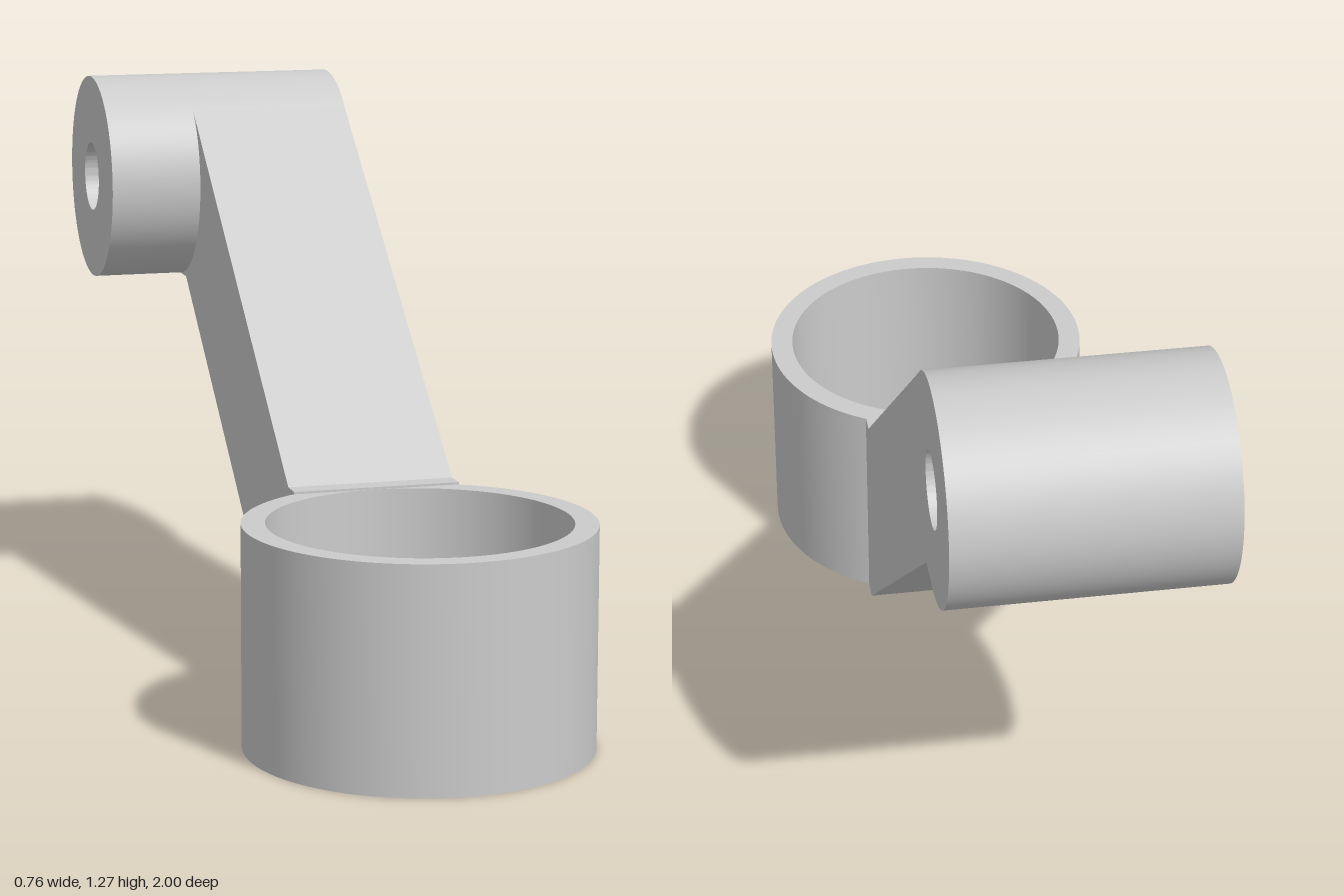
import * as THREE from 'three';
import { toCreasedNormals } from 'three/addons/utils/BufferGeometryUtils.js';

const material = new THREE.MeshStandardMaterial({ color: 0xcccccc });

const RING = { x: 0.01, z: 0.632, outer: 0.368, inner: 0.318, height: 0.475 };
const BOSS = { z: -0.763, y: 1.03, outer: 0.237, inner: 0.08, left: 0.195, right: -0.38 };
const ARM = { left: 0.195, right: -0.172 };

function extrude(shape, depth) {
  const geometry = new THREE.ExtrudeGeometry(shape, { depth, bevelEnabled: false, curveSegments: 64 });
  return toCreasedNormals(geometry, Math.PI / 6);
}

// Flat ring outline with a round hole
function annulus(outer, inner) {
  const shape = new THREE.Shape().absarc(0, 0, outer, 0, Math.PI * 2, false);
  shape.holes.push(new THREE.Path().absarc(0, 0, inner, 0, Math.PI * 2, true));
  return shape;
}

function addMesh(group, name, geometry) {
  const mesh = new THREE.Mesh(geometry, material);
  mesh.name = name;
  group.add(mesh);
  return mesh;
}

export function createModel() {
  const group = new THREE.Group();
  group.name = 'clampArm';

  // Upright open sleeve
  const ring = extrude(annulus(RING.outer, RING.inner), RING.height).rotateX(-Math.PI / 2);
  addMesh(group, 'clampRing', ring).position.set(RING.x, 0, RING.z);

  // Cross boss with a through bore, lying along x
  const boss = extrude(annulus(BOSS.outer, BOSS.inner), BOSS.left - BOSS.right).rotateY(-Math.PI / 2);
  addMesh(group, 'pivotBoss', boss).position.set(BOSS.left, BOSS.y, BOSS.z);

  // Sloping arm: side profile in (z, y), its upper end hollowed to meet the boss
  const tangent = THREE.MathUtils.degToRad(50.1);
  const profile = new THREE.Shape();
  profile.moveTo(0.313, 0);
  profile.lineTo(0.313, 0.48);
  profile.lineTo(0.265, 0.48);
  profile.absarc(BOSS.z, BOSS.y, BOSS.outer - 0.001, tangent, -Math.PI / 2, true);
  profile.lineTo(-0.68, BOSS.y - BOSS.outer);
  profile.lineTo(0.265, 0);
  profile.closePath();
  const arm = extrude(profile, ARM.left - ARM.right).rotateY(-Math.PI / 2);
  addMesh(group, 'arm', arm).position.x = ARM.left;

  return group;
}
